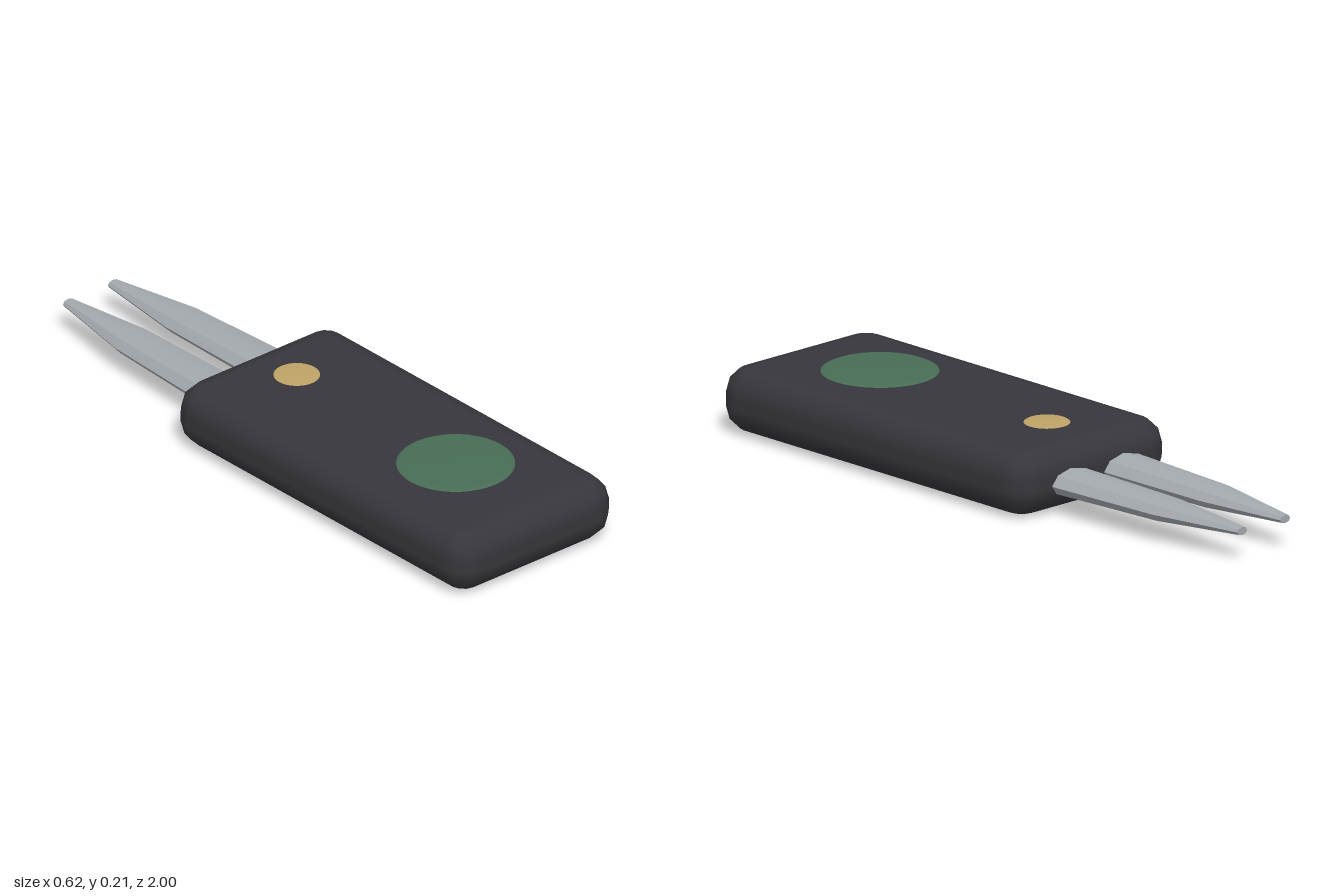
import * as THREE from 'three';
import { toCreasedNormals } from 'three/addons/utils/BufferGeometryUtils.js';

const mat = (name, color) => {
  const m = new THREE.MeshStandardMaterial({ color });
  m.name = name;
  return m;
};

// Box with all edges rounded in three steps: sphere quarters pushed out to the corners
function roundedBody(w, h, d, r) {
  const rows = 10, cols = 17;
  const geo = new THREE.PlaneGeometry(1, 1, cols - 1, rows - 1);
  const lat = [90, 90, 60, 30, 0, 0, -30, -60, -90, -90];
  const pos = geo.attributes.position, nor = geo.attributes.normal;
  for (let row = 0; row < rows; row++) {
    const phi = THREE.MathUtils.degToRad(lat[row]);
    const up = row < rows / 2 ? 1 : -1;
    const cap = row === 0 || row === rows - 1;
    for (let col = 0; col < cols; col++) {
      const k = Math.floor(col / 4) % 4;
      const t = (k + (col % 4) / 3) * Math.PI / 2;
      const n = new THREE.Vector3(Math.cos(phi) * Math.sin(t), Math.sin(phi), Math.cos(phi) * Math.cos(t));
      const sx = k < 2 ? 1 : -1, sz = k === 0 || k === 3 ? 1 : -1;
      const i = row * cols + col;
      nor.setXYZ(i, n.x, n.y, n.z);
      if (cap) pos.setXYZ(i, 0, up * h / 2, 0);
      else pos.setXYZ(i, sx * (w / 2 - r) + r * n.x, up * (h / 2 - r) + r * n.y, sz * (d / 2 - r) + r * n.z);
    }
  }
  return geo;
}

// Eight-sided tapering prong; stations are [z, centre x, half width, half height]
function prongGeometry(side) {
  const stations = [[-0.24, 0.106, 0.082, 0.041], [-0.7, 0.097, 0.067, 0.033], [-1, 0.087, 0.02, 0.0125]];
  const geo = new THREE.CylinderGeometry(1, 1, 2, 8, 2).rotateX(-Math.PI / 2);
  const pos = geo.attributes.position;
  for (let i = 0; i < pos.count; i++) {
    const [z, cx, rx, ry] = stations[1 - Math.round(pos.getZ(i))];
    pos.setXYZ(i, side * cx + rx * pos.getX(i), 0.092 + ry * pos.getY(i), z);
  }
  return toCreasedNormals(geo, Math.PI / 6);
}

// Low disc with a sloped rim
function discGeometry(radius, rim, bottom, top) {
  const profile = [[radius, bottom], [radius - rim, top], [0, top]];
  return new THREE.LatheGeometry(profile.map(([x, y]) => new THREE.Vector2(x, y)), 40);
}

export function createModel() {
  const group = new THREE.Group();
  const add = (name, geo, material, x = 0, y = 0, z = 0) => {
    const mesh = new THREE.Mesh(geo, material);
    mesh.name = name;
    mesh.position.set(x, y, z);
    group.add(mesh);
  };
  const black = mat('charcoal', 0x36363c);
  const steel = mat('steel', 0xa4a9ae);
  const green = mat('green', 0x486d55);
  const gold = mat('brass', 0xbea366);

  // Handle body
  add('body', roundedBody(0.624, 0.203, 1.3, 0.087), black, 0, 0.1015, 0.35);

  // Two prongs at the back
  add('leftProng', prongGeometry(1), steel);
  add('rightProng', prongGeometry(-1), steel);

  // Discs on the top face
  add('markerDisc', discGeometry(0.176, 0.016, 0.202, 0.21), green, 0, 0, 0.62);
  add('stud', discGeometry(0.07, 0.006, 0.202, 0.206), gold, 0, 0, -0.085);

  return group;
}
